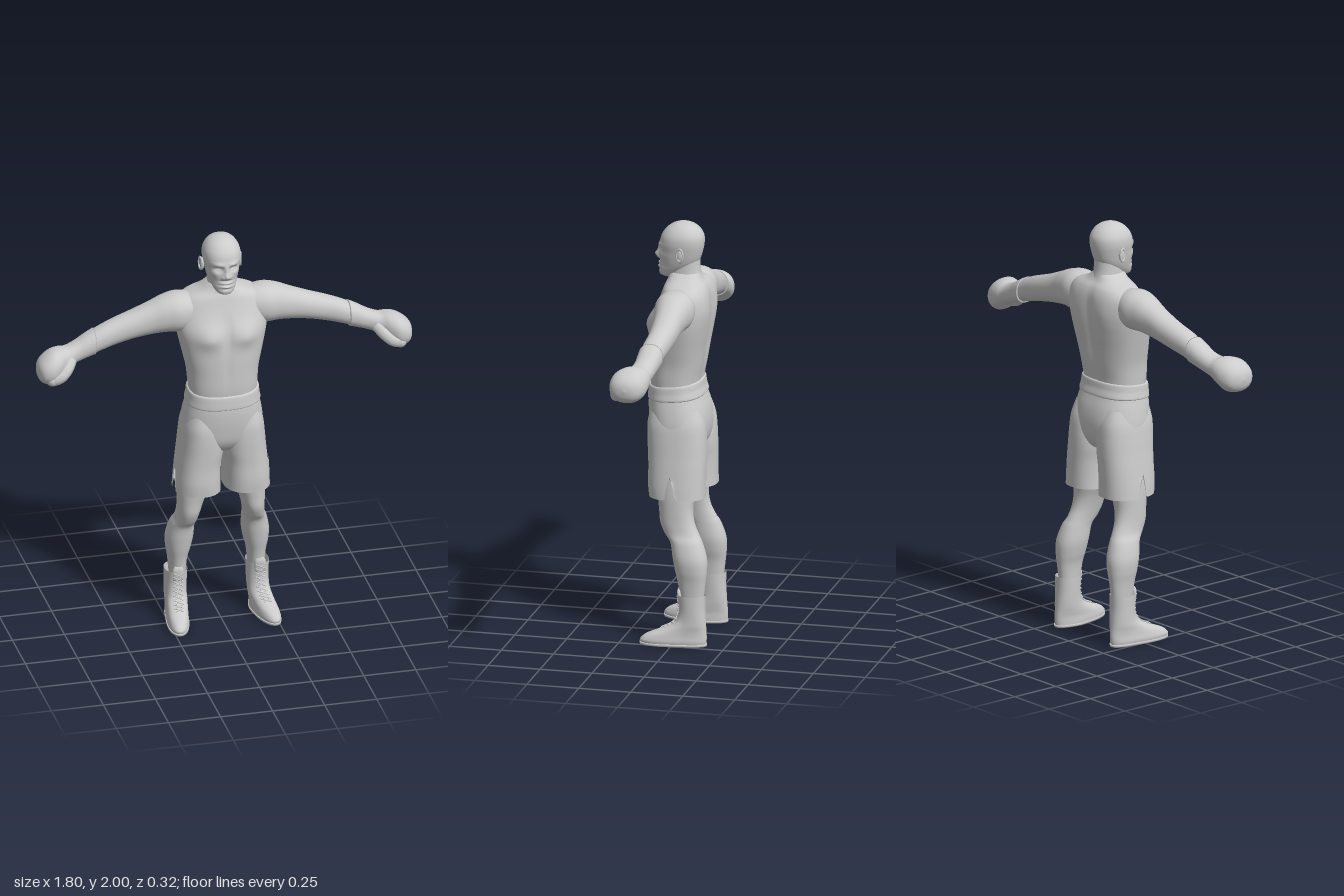
import * as THREE from 'three';

const material = new THREE.MeshStandardMaterial({ color: 0xcccccc, side: THREE.DoubleSide });
const gauss = (d, width) => Math.exp(-(d * d) / (width * width));
const upright = (t, u, w) => new THREE.Vector3(u, t, w);
const sideways = (t, u, w) => new THREE.Vector3(t, u, w);
const V = (x, y, z) => new THREE.Vector3(x, y, z);

// Smooth skin over superellipse sections [t, uMin, uMax, wMin, wMax], t ascending
function loft(rows, { steps = 6, sides = 48, power = 2.2, map = upright, caps = true, shape } = {}) {
  const rings = [];
  for (let i = 0; i < rows.length - 1; i++) {
    const at = k => rows[Math.min(Math.max(i + k, 0), rows.length - 1)];
    const last = i === rows.length - 2 ? steps : steps - 1;
    for (let s = 0; s <= last; s++) {
      const f = s / steps;
      rings.push(rows[0].map((_, k) => {
        const [a, b, c, d] = [at(-1)[k], at(0)[k], at(1)[k], at(2)[k]];
        return b + 0.5 * f * (c - a + f * (2 * a - 5 * b + 4 * c - d + f * (3 * (b - c) + d - a)));
      }));
    }
  }
  const positions = [], index = [];
  const push = v => { if (shape) shape(v); positions.push(v.x, v.y, v.z); };
  const bend = c => Math.sign(c) * Math.abs(c) ** (2 / power);
  const flip = map === sideways;
  const tri = (a, b, c) => flip ? index.push(a, c, b) : index.push(a, b, c);
  rings.forEach(([t, u0, u1, w0, w1], i) => {
    for (let j = 0; j < sides; j++) {
      const a = j / sides * Math.PI * 2;
      push(map(t, (u0 + u1) / 2 + (u1 - u0) / 2 * bend(Math.cos(a)),
        (w0 + w1) / 2 + (w1 - w0) / 2 * bend(Math.sin(a))));
      if (i === rings.length - 1) continue;
      const p = i * sides + j, q = i * sides + (j + 1) % sides;
      tri(p, p + sides, q);
      tri(q, p + sides, q + sides);
    }
  });
  if (caps) [0, rings.length - 1].forEach((i, end) => {
    const [t, u0, u1, w0, w1] = rings[i], centre = positions.length / 3;
    push(map(t, (u0 + u1) / 2, (w0 + w1) / 2));
    for (let j = 0; j < sides; j++) {
      const p = i * sides + j, q = i * sides + (j + 1) % sides;
      end ? tri(centre, q, p) : tri(centre, p, q);
    }
  });
  const geometry = new THREE.BufferGeometry();
  geometry.setAttribute('position', new THREE.Float32BufferAttribute(positions, 3));
  geometry.setIndex(index);
  geometry.computeVertexNormals();
  return geometry;
}

// Sections symmetric about x = 0, given as [y, halfWidth, back, front]
const centred = rows => rows.map(([y, h, b, f]) => [y, -h, h, b, f]);

function mirrored(geometry) {
  const copy = geometry.clone().scale(-1, 1, 1), idx = copy.index;
  for (let i = 0; i < idx.count; i += 3) {
    const b = idx.getX(i + 1);
    idx.setX(i + 1, idx.getX(i + 2));
    idx.setX(i + 2, b);
  }
  copy.computeVertexNormals();
  return copy;
}

const ellipsoid = (c, r) => new THREE.SphereGeometry(1, 24, 16).scale(...r).translate(...c);
const tube = (points, r, n = 12) => new THREE.TubeGeometry(new THREE.CatmullRomCurve3(points), n, r, 8);

// Chest muscles, breastbone and spine grooves
function sculptTorso(v) {
  const x = Math.abs(v.x);
  if (v.z > 0.02) {
    v.z += 0.022 * gauss(x - 0.09, 0.065) * gauss(v.y - 1.525, v.y < 1.525 ? 0.05 : 0.07);
    v.z -= 0.01 * gauss(x, 0.02) * gauss(v.y - 1.53, 0.08) + 0.004 * gauss(x, 0.015) * gauss(v.y - 1.36, 0.09);
  } else if (v.z < -0.02) {
    v.z += 0.016 * gauss(x, 0.028) * gauss(v.y - 1.46, 0.2);
    v.z -= 0.006 * gauss(x - 0.11, 0.05) * gauss(v.y - 1.6, 0.08);
  }
}

// Brow, eyes, nose, mouth and chin
function sculptFace(v) {
  if (v.z < 0.03) return;
  const x = Math.abs(v.x), y = v.y, spot = (px, wx, py, wy) => gauss(x - px, wx) * gauss(y - py, wy);
  v.z += 0.008 * spot(0.035, 0.025, 1.89, 0.011) - 0.015 * spot(0.034, 0.018, 1.866, 0.012)
    + 0.007 * spot(0.034, 0.012, 1.863, 0.006)
    + 0.012 * spot(0, 0.011, 1.862, 0.022) + 0.024 * spot(0, 0.014, 1.833, 0.015)
    + 0.009 * spot(0.017, 0.008, 1.825, 0.009) - 0.006 * spot(0, 0.03, 1.808, 0.006)
    + 0.007 * spot(0, 0.024, 1.796, 0.006) - 0.006 * spot(0, 0.028, 1.787, 0.003)
    + 0.007 * spot(0, 0.02, 1.778, 0.006) - 0.005 * spot(0, 0.03, 1.766, 0.006)
    + 0.005 * spot(0.055, 0.018, 1.842, 0.015) - 0.004 * spot(0.05, 0.015, 1.8, 0.02);
}

export function createModel() {
  const model = new THREE.Group();
  const add = (name, geometry) => {
    const mesh = new THREE.Mesh(geometry, material);
    mesh.name = name;
    model.add(mesh);
  };
  const pair = (name, geometry) => {
    add('left' + name, geometry);
    add('right' + name, mirrored(geometry));
  };

  // Body
  add('torso', loft(centred([
    [1.18, 0.158, -0.085, 0.142], [1.25, 0.163, -0.09, 0.15], [1.33, 0.17, -0.105, 0.152],
    [1.41, 0.187, -0.118, 0.152], [1.48, 0.203, -0.13, 0.148], [1.54, 0.215, -0.137, 0.138],
    [1.6, 0.22, -0.138, 0.116], [1.66, 0.21, -0.132, 0.095], [1.7, 0.175, -0.118, 0.082],
    [1.73, 0.105, -0.095, 0.07], [1.76, 0.062, -0.08, 0.063]]),
  { sides: 96, power: 2.4, steps: 8, shape: sculptTorso }));
  add('neck', loft(centred([[1.66, 0.08, -0.105, 0.07], [1.72, 0.068, -0.093, 0.068],
    [1.77, 0.062, -0.08, 0.06], [1.84, 0.06, -0.075, 0.05]])));

  // Head
  add('head', loft(centred([
    [1.731, 0.022, 0.04, 0.098], [1.742, 0.04, 0.015, 0.114], [1.765, 0.055, -0.02, 0.118],
    [1.79, 0.066, -0.055, 0.115], [1.82, 0.075, -0.077, 0.114], [1.86, 0.083, -0.09, 0.113],
    [1.9, 0.089, -0.097, 0.112], [1.935, 0.086, -0.095, 0.103], [1.965, 0.071, -0.078, 0.082],
    [1.985, 0.05, -0.054, 0.055], [1.996, 0.025, -0.026, 0.028], [2, 0.002, -0.002, 0.004]]),
  { sides: 128, steps: 9, power: 2.15, shape: sculptFace }));
  pair('Ear', ellipsoid([0.089, 1.857, -0.002], [0.009, 0.032, 0.018]));
  pair('EarRim', new THREE.TorusGeometry(0.02, 0.0045, 8, 24).scale(0.85, 1.5, 1)
    .rotateY(Math.PI / 2 - 0.25).translate(0.097, 1.858, -0.004));

  // Arms
  pair('Arm', loft([
    [0.1, 1.55, 1.70, -0.08, 0.065], [0.2, 1.527, 1.717, -0.102, 0.085], [0.27, 1.528, 1.706, -0.092, 0.075],
    [0.34, 1.522, 1.677, -0.08, 0.06], [0.42, 1.51, 1.645, -0.075, 0.053], [0.5, 1.492, 1.618, -0.066, 0.05],
    [0.57, 1.474, 1.593, -0.055, 0.055], [0.64, 1.452, 1.56, -0.047, 0.058]], { map: sideways }));

  // Gloves
  pair('Glove', loft([
    [0.61, 1.456, 1.58, -0.055, 0.063], [0.65, 1.445, 1.56, -0.049, 0.063], [0.7, 1.43, 1.532, -0.04, 0.066],
    [0.75, 1.412, 1.515, -0.034, 0.085], [0.79, 1.385, 1.52, -0.036, 0.12], [0.83, 1.36, 1.515, -0.031, 0.141],
    [0.87, 1.366, 1.49, -0.012, 0.134], [0.892, 1.39, 1.463, 0.02, 0.106], [0.9, 1.426, 1.43, 0.058, 0.062]],
  { map: sideways }));
  pair('GloveThumb', tube([V(0.735, 1.46, 0.06), V(0.765, 1.43, 0.098), V(0.8, 1.403, 0.115), V(0.835, 1.392, 0.11)], 0.03));
  pair('GloveThumbTip', ellipsoid([0.835, 1.392, 0.11], [0.03, 0.03, 0.03]));

  // Shorts
  const tilt = v => { v.y -= 0.09 * v.z * THREE.MathUtils.smoothstep(v.y, 1.1, 1.2); };
  add('shortsHips', loft(centred([
    [0.895, 0.04, -0.05, 0.05], [0.92, 0.13, -0.095, 0.1], [0.97, 0.19, -0.122, 0.135],
    [1.04, 0.194, -0.13, 0.15], [1.11, 0.185, -0.122, 0.157], [1.17, 0.173, -0.102, 0.157],
    [1.215, 0.168, -0.092, 0.154], [1.235, 0.167, -0.092, 0.153]]),
  { sides: 72, power: 2.4, shape: tilt }));
  add('waistband', loft(centred([[1.165, 0.174, -0.105, 0.158], [1.172, 0.178, -0.108, 0.161],
    [1.2, 0.173, -0.1, 0.16], [1.23, 0.17, -0.096, 0.157], [1.237, 0.165, -0.09, 0.151]]),
  { sides: 72, power: 2.4, caps: false, shape: tilt }));
  // Open legs, notched upward at the outer seam
  pair('ShortsLeg', loft([
    [0.7, 0.008, 0.228, -0.132, 0.132], [0.76, 0.01, 0.224, -0.132, 0.138], [0.84, 0.008, 0.216, -0.133, 0.138],
    [0.91, -0.002, 0.208, -0.134, 0.142], [0.98, -0.002, 0.201, -0.132, 0.146], [1.05, 0.01, 0.192, -0.124, 0.145],
    [1.12, 0.03, 0.172, -0.1, 0.13]],
  { sides: 120, power: 2.4, caps: false, shape: v => {
    if (v.x > 0.15) v.y = Math.max(v.y, 0.7 + 0.125 * (1 - Math.abs(v.z - 0.01) / 0.026));
  } }));

  // Legs
  pair('Leg', loft([
    [0.2, 0.152, 0.225, -0.14, -0.035], [0.3, 0.144, 0.234, -0.151, -0.02], [0.36, 0.129, 0.244, -0.157, -0.006],
    [0.42, 0.118, 0.246, -0.155, 0.006], [0.49, 0.116, 0.23, -0.133, 0.02], [0.53, 0.112, 0.213, -0.112, 0.05],
    [0.58, 0.102, 0.208, -0.09, 0.073], [0.64, 0.085, 0.208, -0.08, 0.08], [0.72, 0.058, 0.208, -0.085, 0.09],
    [0.85, 0.04, 0.2, -0.09, 0.1]]));

  // Boots, with the toes turned out
  const toeOut = v => { v.x += 0.14 * Math.max(0, v.z + 0.05); };
  pair('Boot', loft([
    [0.008, 0.149, 0.252, -0.158, 0.148], [0.025, 0.148, 0.255, -0.16, 0.152], [0.05, 0.149, 0.252, -0.16, 0.125],
    [0.075, 0.148, 0.25, -0.158, 0.064], [0.1, 0.147, 0.25, -0.156, 0.01], [0.13, 0.146, 0.249, -0.154, -0.018],
    [0.18, 0.144, 0.249, -0.151, -0.028], [0.245, 0.142, 0.25, -0.152, -0.021]],
  { caps: false, shape: toeOut }));
  pair('BootSole', loft([[0, 0.147, 0.255, -0.161, 0.152], [0.012, 0.146, 0.256, -0.162, 0.154]],
    { steps: 2, shape: toeOut }));
  pair('BootTongue', loft([[0.2, 0.172, 0.222, -0.045, -0.024], [0.25, 0.17, 0.224, -0.042, -0.018],
    [0.272, 0.18, 0.214, -0.036, -0.022]]));
  // Crossed laces running down the shin and over the instep
  const front = new THREE.CatmullRomCurve3([V(0.197, 0.238, -0.02), V(0.197, 0.18, -0.027),
    V(0.199, 0.13, -0.017), V(0.204, 0.1, 0.011), V(0.212, 0.079, 0.058)]);
  const count = 9;
  for (let i = 0; i < count; i++) {
    const a = front.getPointAt(i / count), b = front.getPointAt((i + 1) / count);
    for (const s of [-1, 1]) {
      const mid = a.clone().lerp(b, 0.5).add(V(0, 0.002, 0.002));
      pair('Lace', tube([a.clone().add(V(s * 0.02, 0, -0.002)), mid, b.clone().add(V(-s * 0.02, 0, -0.002))], 0.0028, 6));
      pair('Eyelet', ellipsoid([a.x + s * 0.021, a.y, a.z - 0.003], [0.004, 0.004, 0.004]));
    }
  }
  return model;
}
